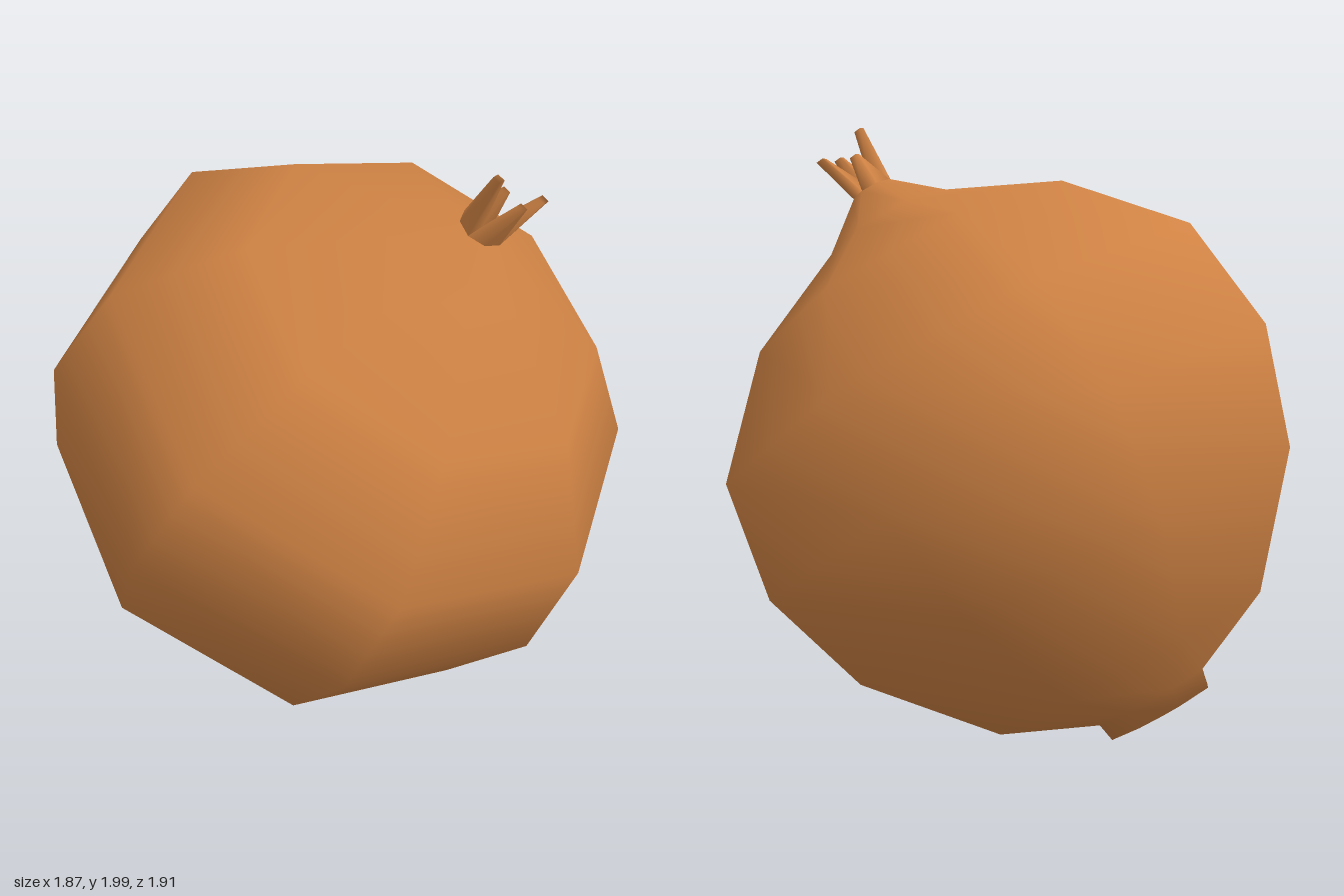
import * as THREE from 'three';

const SIDES = 8;
const NECK_R = 0.074, NECK_Y = 1.792;

// A tapering dry shoot growing from one quarter of the neck ring
function makeShoot(phi, tip, material) {
  const pos = [];
  const corner = (a, r) => [Math.sin(a) * r, Math.cos(a) * r];
  const angles = [phi - Math.PI / 4, phi, phi + Math.PI / 4];
  for (const a of angles) {
    const [x, z] = corner(a, NECK_R);
    pos.push(x, NECK_Y, z);
  }
  pos.push(0, NECK_Y + 0.01, 0);
  // Small blunt end
  for (const a of [...angles.map((v) => phi + (v - phi) * 2), phi + Math.PI]) {
    const [x, z] = corner(a, 0.018);
    pos.push(tip[0] + x, tip[1], tip[2] + z);
  }
  const index = [];
  for (let i = 0; i < 4; i++) {
    const j = (i + 1) % 4;
    index.push(i, j, j + 4, i, j + 4, i + 4);
  }
  index.push(4, 5, 6, 4, 6, 7);
  const geometry = new THREE.BufferGeometry();
  geometry.setAttribute('position', new THREE.Float32BufferAttribute(pos, 3));
  geometry.setIndex(index);
  geometry.computeVertexNormals();
  return new THREE.Mesh(geometry, material);
}

export function createModel() {
  const model = new THREE.Group();
  model.name = 'onion';
  const skin = new THREE.MeshStandardMaterial({ color: 0xd08344 });
  skin.name = 'orange brown skin';

  // Everything is built upright, then leaned over to the left
  const bulb = new THREE.Group();
  bulb.name = 'bulb';
  bulb.position.set(-0.426, 0.266, 0);
  bulb.rotation.z = -0.559;
  model.add(bulb);

  // Body: root stub, round belly and narrow neck
  const profile = [
    [0, -0.2], [0.19, -0.184], [0.203, -0.124], [0.506, 0.008], [0.825, 0.357],
    [0.953, 0.722], [0.903, 1.113], [0.605, 1.453], [0.236, 1.65],
    [NECK_R, NECK_Y], [0, NECK_Y + 0.01],
  ].map(([r, y]) => new THREE.Vector2(r, y));
  const body = new THREE.Mesh(new THREE.LatheGeometry(profile, SIDES), skin);
  body.name = 'body';
  bulb.add(body);

  // Four shoots splaying from the neck
  const tips = [
    [-1, [-0.023, 2.019, 0.085]],
    [-3, [-0.021, 1.914, -0.04]],
    [1, [0.064, 1.955, 0.018]],
    [3, [0.076, 1.957, -0.08]],
  ];
  tips.forEach(([eighth, tip], i) => {
    const shoot = makeShoot((eighth * Math.PI) / 4, tip, skin);
    shoot.name = `shoot${i + 1}`;
    bulb.add(shoot);
  });

  return model;
}
